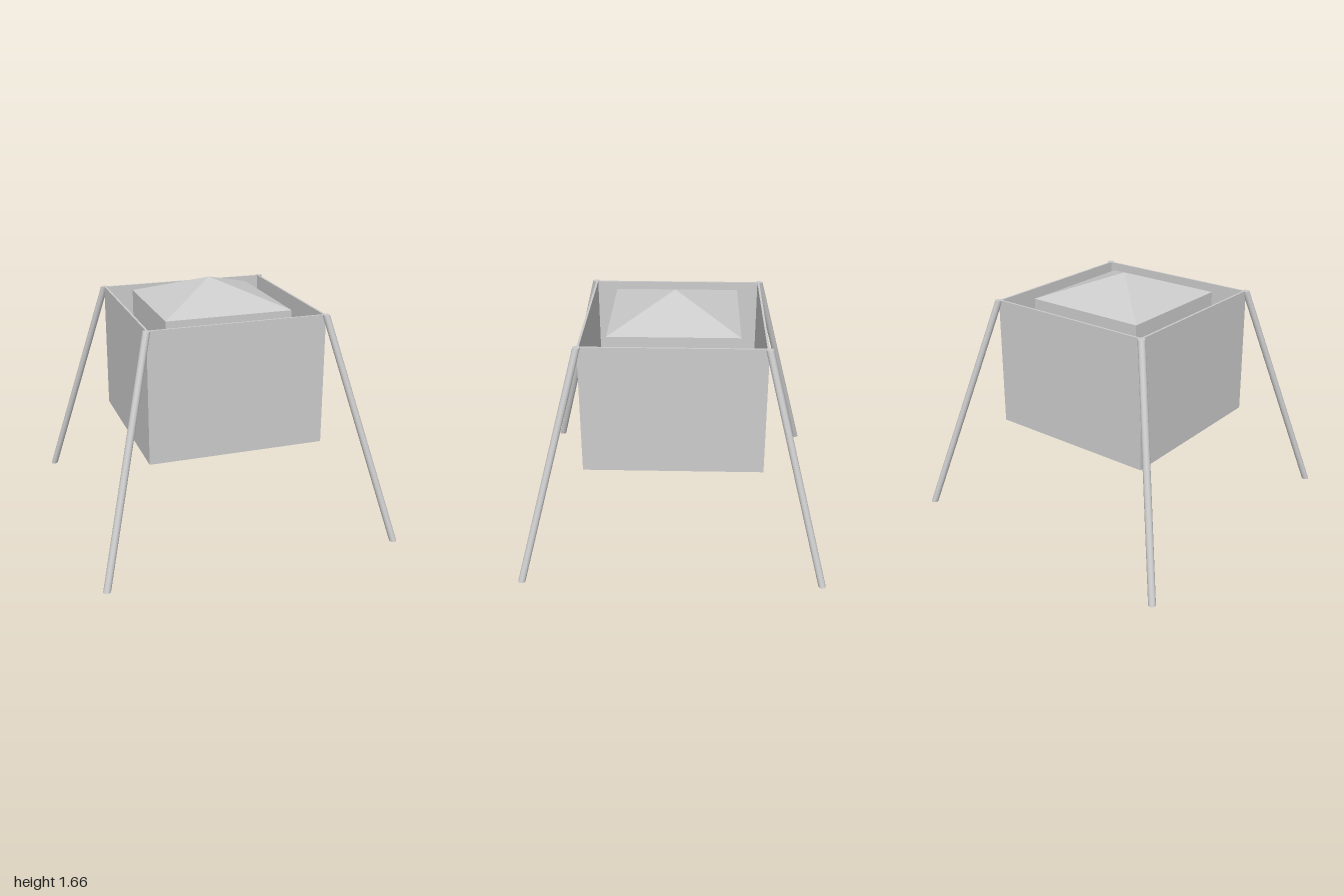
import * as THREE from 'three';

const OUT = 0.592, INN = 0.578, BOTTOM = 0.62, RIM = 1.5, FLOOR = 0.635, CORE = 0.425, APEX = 1.66;

function square(Type, h) {
  const s = new Type();
  s.moveTo(-h, -h).lineTo(h, -h).lineTo(h, h).lineTo(-h, h).closePath();
  return s;
}

export function createModel() {
  const group = new THREE.Group();
  const mat = new THREE.MeshStandardMaterial({ color: 0xcccccc });
  const flat = new THREE.MeshStandardMaterial({ color: 0xcccccc, flatShading: true });
  const add = (name, geo, material = mat) => {
    const mesh = new THREE.Mesh(geo, material);
    mesh.name = name;
    group.add(mesh);
    return mesh;
  };

  // Thin-walled square bin, open at the top
  const ring = square(THREE.Shape, OUT);
  ring.holes.push(square(THREE.Path, INN));
  const walls = new THREE.ExtrudeGeometry(ring, { depth: RIM - FLOOR, bevelEnabled: false });
  walls.rotateX(-Math.PI / 2);
  add('binWalls', walls).position.y = FLOOR;
  add('binFloor', new THREE.BoxGeometry(2 * OUT, FLOOR - BOTTOM, 2 * OUT))
    .position.y = (FLOOR + BOTTOM) / 2;

  // Square core standing in the bin, with a pyramid cap
  add('core', new THREE.BoxGeometry(2 * CORE, RIM - FLOOR, 2 * CORE))
    .position.y = (RIM + FLOOR) / 2;
  const cap = new THREE.ConeGeometry(CORE * Math.SQRT2, APEX - RIM, 4, 1, true);
  cap.rotateY(Math.PI / 4);
  add('pyramidCap', cap, flat).position.y = (RIM + APEX) / 2;

  // Splayed round legs, sheared so that their ends stay level
  const top = 0.592, foot = 0.976, r = 0.024;
  for (const sx of [-1, 1]) for (const sz of [-1, 1]) {
    const leg = new THREE.CylinderGeometry(r, r, RIM, 16);
    const slope = (top - foot) / RIM;
    leg.translate(0, RIM / 2, 0);
    leg.applyMatrix4(new THREE.Matrix4().set(
      1, sx * slope, 0, sx * foot,
      0, 1, 0, 0,
      0, sz * slope, 1, sz * foot,
      0, 0, 0, 1));
    add((sz > 0 ? 'front' : 'back') + (sx > 0 ? 'Left' : 'Right') + 'Leg', leg);
  }
  return group;
}
